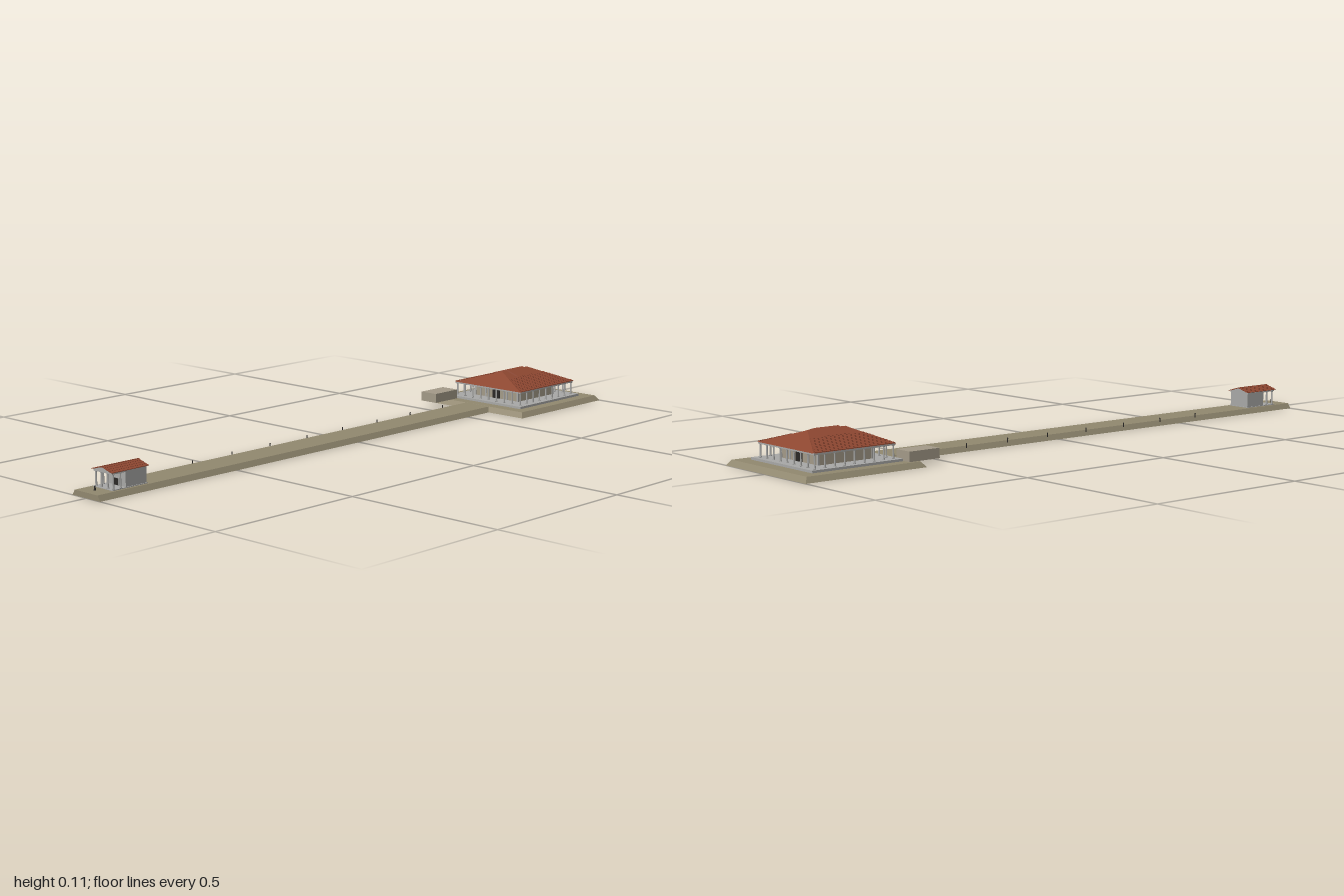
import * as THREE from 'three';

const mat = (color) => new THREE.MeshStandardMaterial({ color, side: THREE.DoubleSide });
const earth = mat(0x91886f), plaster = mat(0xa39a88), stone = mat(0xa8a8a6);
const clay = mat(0x8c4630), dark = mat(0x2a2826);

// Box from y0 to y1 whose top is resized to topW x topD (0 makes a ridge or a point)
function frustum(w, d, y0, y1, topW, topD) {
  const g = new THREE.BoxGeometry(w, y1 - y0, d).toNonIndexed();
  const p = g.attributes.position;
  for (let i = 0; i < p.count; i++) {
    if (p.getY(i) > 0) {
      p.setX(i, Math.sign(p.getX(i)) * topW / 2);
      p.setZ(i, Math.sign(p.getZ(i)) * topD / 2);
    }
  }
  g.translate(0, (y0 + y1) / 2, 0);
  g.computeVertexNormals();
  return g;
}

function add(parent, name, geometry, material, x = 0, y = 0, z = 0) {
  const m = new THREE.Mesh(geometry, material);
  m.name = name;
  m.position.set(x, y, z);
  parent.add(m);
  return m;
}

function block(parent, name, material, w, d, y0, y1, x = 0, z = 0) {
  return add(parent, name, frustum(w, d, y0, y1, w, d), material, x, 0, z);
}

// Column with a base, a tapered shaft and a spreading capital
function column(parent, x, z, y0, y1, r) {
  const h = y1 - y0;
  const profile = [[0, 0], [1.4, 0], [1.4, 0.04], [1, 0.07], [0.85, 0.9], [1.4, 0.95], [1.4, 1], [0, 1]]
    .map(([a, b]) => new THREE.Vector2(a * r, b * h));
  add(parent, 'column', new THREE.LatheGeometry(profile, 10), stone, x, y0, z);
}

// Overlapping tile courses on both x slopes; endHalf(t) is half the course length
function tileCourses(parent, n, eaveX, eaveY, ridgeY, t1, endHalf, thick) {
  const slope = Math.atan2(ridgeY - eaveY, eaveX);
  const step = t1 / n;
  for (const side of [-1, 1]) {
    for (let i = 0; i < n; i++) {
      const t = (i + 0.5) * step;
      const len = endHalf((i + 0.8) * step) * 2;
      const w = step * eaveX / Math.cos(slope) * 1.05;
      const m = add(parent, 'tileCourse', new THREE.BoxGeometry(w, thick, len), clay,
        side * eaveX * (1 - t), eaveY + (ridgeY - eaveY) * t + thick * 0.3, 0);
      m.rotation.z = -side * (slope - 0.06);
    }
  }
}

function makeTemple() {
  const g = new THREE.Group();
  g.name = 'temple';
  g.position.z = -0.797;
  block(g, 'stylobate', stone, 0.294, 0.3, 0.016, 0.023);
  block(g, 'cella', plaster, 0.178, 0.18, 0.023, 0.066);
  // Corner and wall pilasters
  for (const x of [-0.087, -0.044, 0.044, 0.087]) {
    for (const z of [-0.089, 0.089]) block(g, 'pilaster', stone, 0.007, 0.005, 0.023, 0.062, x, z);
  }
  for (const z of [-0.091, 0.091]) block(g, 'cellaDoor', dark, 0.03, 0.003, 0.023, 0.052, 0, z);
  // Colonnade on all four sides
  for (let i = 0; i <= 8; i++) {
    const a = -0.13 + i * 0.0325;
    for (const s of [-0.13, 0.13]) {
      column(g, a, s, 0.023, 0.062, 0.0027);
      if (i > 0 && i < 8) column(g, s, a, 0.023, 0.062, 0.0027);
    }
  }
  block(g, 'entablature', stone, 0.268, 0.27, 0.061, 0.067);
  // Hipped roof with a raised gabled cap
  add(g, 'hippedRoof', frustum(0.272, 0.275, 0.066, 0.106, 0, 0.126), clay);
  tileCourses(g, 10, 0.136, 0.067, 0.106, 0.65, (t) => 0.1365 - 0.074 * t, 0.0016);
  add(g, 'roofCap', frustum(0.106, 0.09, 0.094, 0.11, 0, 0.08), clay);
  block(g, 'roofCapBase', clay, 0.1, 0.084, 0.088, 0.0942);
  return g;
}

function makeGatehouse() {
  const g = new THREE.Group();
  g.name = 'gatehouse';
  g.position.z = 0.88;
  block(g, 'floor', stone, 0.08, 0.125, 0.016, 0.018);
  // Rear room with a doorway
  block(g, 'room', stone, 0.074, 0.074, 0.018, 0.061, 0, -0.024);
  block(g, 'doorway', dark, 0.018, 0.003, 0.018, 0.038, 0, 0.0135);
  for (const s of [-1, 1]) block(g, 'doorJamb', stone, 0.003, 0.005, 0.018, 0.04, s * 0.0105, 0.014);
  block(g, 'doorLintel', stone, 0.026, 0.005, 0.038, 0.041, 0, 0.014);
  // Porch columns
  for (const x of [-0.035, -0.0125, 0.0125, 0.035]) column(g, x, 0.055, 0.018, 0.061, 0.0028);
  for (const x of [-0.035, 0.035]) column(g, x, 0.03, 0.018, 0.061, 0.0028);
  block(g, 'architrave', stone, 0.077, 0.122, 0.06, 0.064);
  // Pediments under a tiled gable roof
  add(g, 'pediment', frustum(0.08, 0.128, 0.064, 0.076, 0, 0.128), stone);
  add(g, 'gableRoof', frustum(0.084, 0.122, 0.0645, 0.077, 0, 0.122), clay);
  tileCourses(g, 4, 0.042, 0.065, 0.077, 1, () => 0.066, 0.0014);
  block(g, 'ridgeTiles', clay, 0.004, 0.134, 0.0755, 0.0785);
  return g;
}

export function createModel() {
  const model = new THREE.Group();
  model.name = 'templePrecinct';

  // Raised ground
  add(model, 'platform', frustum(0.386, 0.4, 0, 0.016, 0.362, 0.376), earth, 0, 0, -0.8);
  add(model, 'causeway', frustum(0.114, 1.62, 0, 0.0158, 0.094, 1.62), earth, 0, 0, 0.19);

  // Altar block at the platform's front corner
  block(model, 'altar', plaster, 0.06, 0.104, 0.016, 0.045, -0.142, -0.591);

  model.add(makeTemple(), makeGatehouse());

  // Small posts along one edge of the causeway
  for (let i = 0; i < 8; i++) {
    const z = -0.5 + i * 0.153;
    add(model, 'post', new THREE.CylinderGeometry(0.0015, 0.002, 0.012, 6), dark, -0.05, 0.016, z);
    add(model, 'postTop', new THREE.SphereGeometry(0.002, 8, 6), dark, -0.05, 0.022, z);
  }

  // Marker post before the gatehouse
  add(model, 'marker', new THREE.CylinderGeometry(0.002, 0.003, 0.012, 8), dark, -0.002, 0.022, 0.968);
  return model;
}
